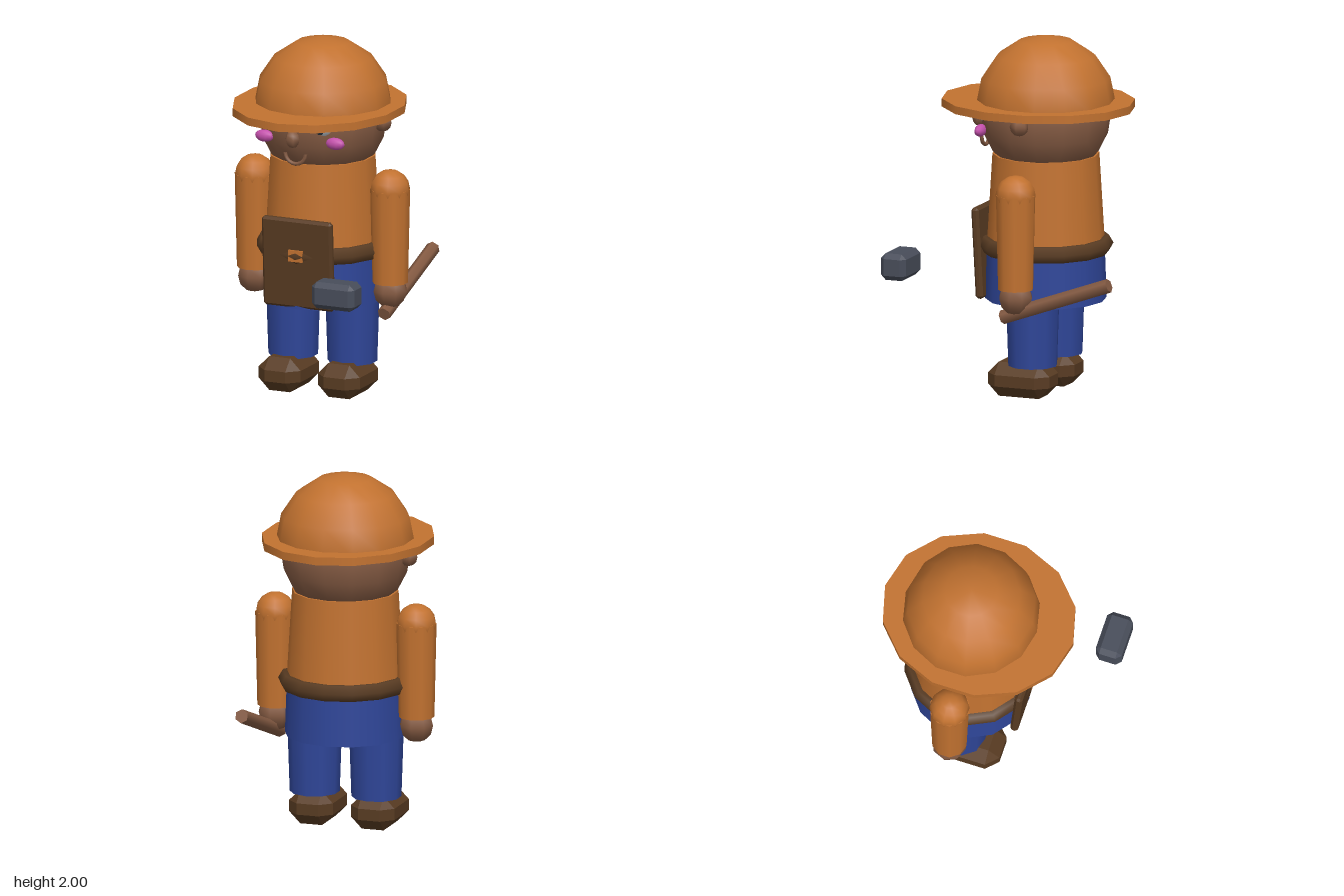
import * as THREE from 'three';
import { ConvexGeometry } from 'three/addons/geometries/ConvexGeometry.js';

const mat = (name, color, flatShading = false) => {
  const m = new THREE.MeshStandardMaterial({ color, flatShading });
  m.name = name;
  return m;
};

// Box with every edge cut by a single chamfer
function chamferBox(w, h, d, c) {
  const pts = [];
  for (const x of [-1, 1]) for (const y of [-1, 1]) for (const z of [-1, 1]) {
    const [a, b, e] = [w / 2, h / 2, d / 2];
    pts.push(
      new THREE.Vector3(x * a, y * (b - c), z * (e - c)),
      new THREE.Vector3(x * (a - c), y * b, z * (e - c)),
      new THREE.Vector3(x * (a - c), y * (b - c), z * e));
  }
  return new ConvexGeometry(pts);
}

export function createModel() {
  const group = new THREE.Group();
  const orange = mat('orange cloth', 0xc27230);
  const skin = mat('brown skin', 0x855b43);
  const blue = mat('blue trousers', 0x2f4699);
  const leather = mat('dark leather', 0x583b22);
  const steel = mat('grey steel', 0x484d5a);
  const pink = mat('pink cheek', 0xc350ab);
  const white = mat('eye white', 0xc4ccd4);
  const pupil = mat('dark pupil', 0x38424f);
  const CX = -0.01, CZ = -0.1;

  const add = (name, geo, material, x, y, z) => {
    const m = new THREE.Mesh(geo, material);
    m.name = name;
    m.position.set(x, y, z);
    group.add(m);
    return m;
  };
  // Ball with its pole up, scaled into an ellipsoid
  const ball = (name, material, x, y, z, rx, ry, rz, ws = 10, hs = 8) => {
    const m = add(name, new THREE.SphereGeometry(1, ws, hs), material, x, y, z);
    m.scale.set(rx, ry, rz);
    return m;
  };
  // Upright tapered cylinder between two heights
  const column = (name, material, x, z, y0, y1, r0, r1, sides = 14) =>
    add(name, new THREE.CylinderGeometry(r1, r0, y1 - y0, sides), material, x, (y0 + y1) / 2, z);

  // Hat: oval brim and half-ball crown
  column('hatBrim', orange, CX, -0.055, 1.595, 1.64, 0.545, 0.545).scale.x = 0.866;
  const crown = new THREE.SphereGeometry(0.385, 14, 4, 0, Math.PI * 2, 0, Math.PI / 2);
  crown.rotateY(Math.PI / 2);
  add('hatCrown', crown, orange, CX, 1.615, CZ);

  // Head and face
  ball('head', skin, CX, 1.56, CZ, 0.36, 0.36, 0.36, 14, 10).rotation.y = Math.PI / 2;
  ball('nose', skin, CX, 1.507, 0.295, 0.042, 0.05, 0.042, 6, 6);
  const smile = new THREE.TorusGeometry(0.062, 0.011, 6, 10, Math.PI);
  smile.rotateZ(Math.PI);
  add('mouth', smile, skin, CX, 1.42, 0.258);

  // Torso, belt and hips
  column('shirt', orange, CX, CZ, 0.8, 1.34, 0.327, 0.295);
  const belt = new THREE.TorusGeometry(0.322, 0.051, 6, 14);
  belt.rotateZ(Math.PI / 2).rotateX(Math.PI / 2);
  add('belt', belt, leather, CX, 0.83, CZ);
  column('hips', blue, CX, CZ, 0.525, 0.81, 0.335, 0.325);

  // Leather front panel with the buckle showing through
  const panel = add('frontPanel', chamferBox(0.425, 0.51, 0.045, 0.014),
    leather, -0.007, 0.785, 0.225);
  panel.rotation.x = 0.055;
  add('buckle', new THREE.BoxGeometry(0.085, 0.065, 0.06), orange, CX, 0.832, 0.232);

  for (const s of [-1, 1]) {
    const side = s > 0 ? 'left' : 'right';

    // Eye, cheek and ear
    ball(side + 'Eye', white, CX + s * 0.145, 1.58, 0.205, 0.055, 0.06, 0.04);
    ball(side + 'Pupil', pupil, CX + s * 0.135, 1.575, 0.225, 0.037, 0.046, 0.032);
    ball(side + 'Cheek', pink, CX + s * 0.215, 1.482, 0.2, 0.057, 0.034, 0.03);
    ball(side + 'Ear', skin, CX + s * 0.365, 1.555, -0.095, 0.054, 0.054, 0.054, 6, 6);

    // Arm
    const ax = CX + s * 0.412;
    column(side + 'Sleeve', orange, ax, -0.092, 0.65, 1.18, 0.099, 0.111, 10);
    ball(side + 'Shoulder', orange, ax, 1.178, -0.092, 0.111, 0.111, 0.111, 10, 8);
    ball(side + 'Hand', skin, ax, 0.603, -0.092, 0.097, 0.097, 0.097, 8, 6);

    // Leg and boot
    const lx = CX + s * 0.18;
    column(side + 'Leg', blue, lx, -0.097, 0.18, 0.54, 0.138, 0.15, 10);
    add(side + 'Boot', chamferBox(0.255, 0.192, 0.365, 0.064), leather, lx, 0.1, -0.04);
  }

  // Tool: slanted shaft in the left hand and a separate steel head ahead of it
  const a = new THREE.Vector3(0.402, 0.485, -0.012), b = new THREE.Vector3(0.402, 0.715, -0.65);
  const dir = b.clone().sub(a);
  const shaft = add('toolShaft', new THREE.CylinderGeometry(0.039, 0.039, dir.length(), 6),
    skin, ...a.clone().add(b).multiplyScalar(0.5).toArray());
  shaft.quaternion.setFromUnitVectors(new THREE.Vector3(0, 1, 0), dir.normalize());
  add('toolHead', chamferBox(0.258, 0.15, 0.15, 0.028), steel, 0.4, 0.737, 0.595);

  return group;
}
